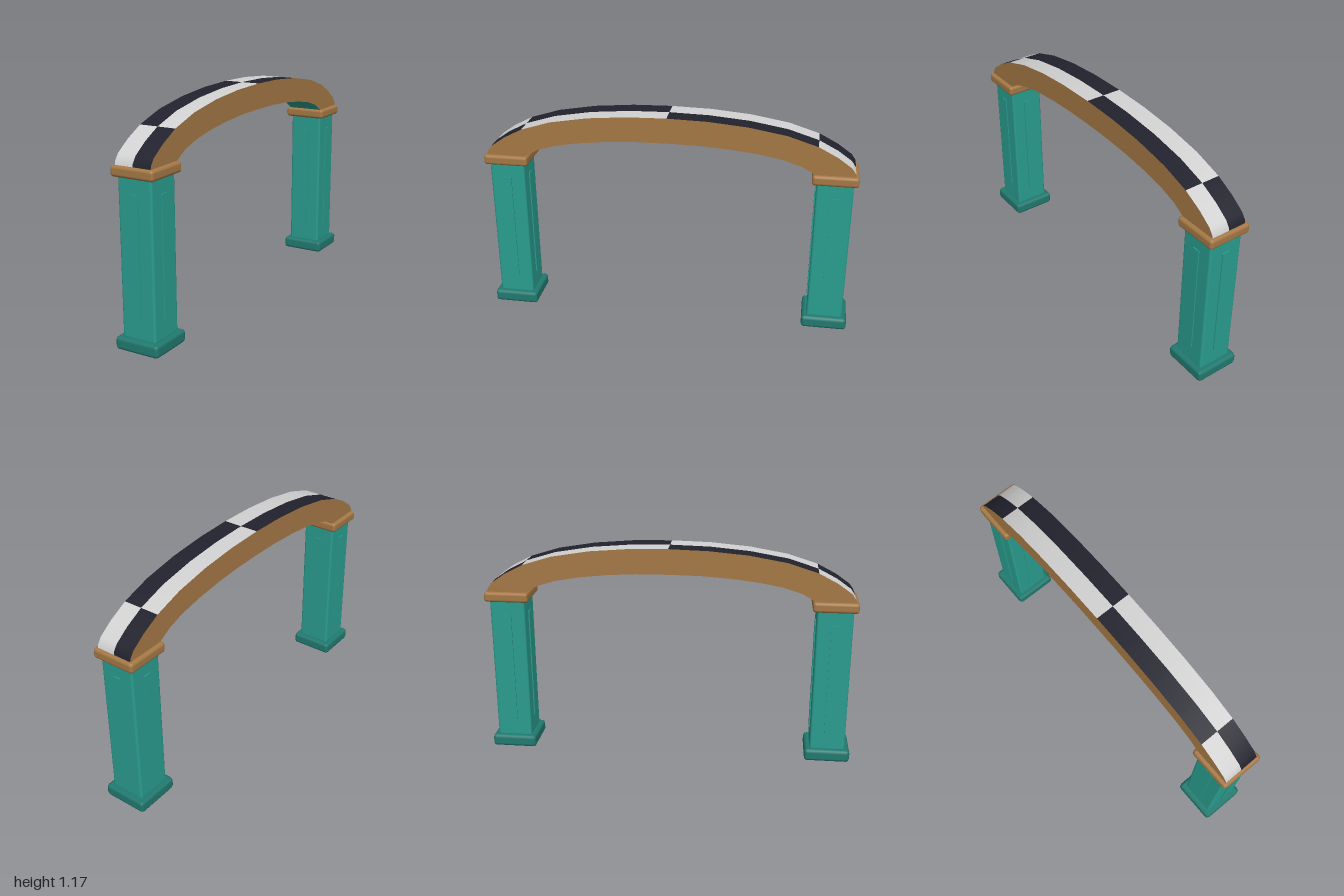
import * as THREE from 'three';
import { RoundedBoxGeometry } from 'three/addons/geometries/RoundedBoxGeometry.js';

const paint = (name, color) => {
  const m = new THREE.MeshStandardMaterial({ color });
  m.name = name;
  return m;
};

// Half profiles of the arch as [z, y], from the foot to the crown
const OUTER = [[0.985, 0.88], [0.977, 0.925], [0.955, 0.957], [0.88, 1.01], [0.78, 1.062],
  [0.62, 1.112], [0.42, 1.146], [0.21, 1.164], [0, 1.169]];
const INNER = [[0.80, 0.88], [0.765, 0.914], [0.70, 0.95], [0.605, 0.98], [0.48, 1.003],
  [0.33, 1.02], [0.17, 1.03], [0, 1.032]];

// Full profile running from -z to +z
const mirrored = (half) => [
  ...half.map(([z, y]) => [-z, y]),
  ...half.slice(0, -1).reverse(),
];

// Ribbon across x, two columns wide, following a profile
function ribbon(profile, width) {
  const geo = new THREE.PlaneGeometry(width, 1, 2, profile.length - 1);
  const pos = geo.attributes.position;
  for (let i = 0; i < pos.count; i++) {
    const [z, y] = profile[Math.floor(i / 3)];
    pos.setXYZ(i, pos.getX(i), y, z);
  }
  geo.computeVertexNormals();
  return geo;
}

export function createModel() {
  const teal = paint('teal', 0x2a9d8f);
  const darkTeal = paint('dark teal', 0x217a70);
  const wood = paint('wood brown', 0xa57845);
  const white = paint('pale grey', 0xd2d2d2);
  const black = paint('near black', 0x22222e);

  const model = new THREE.Group();
  model.name = 'archway';
  const add = (parent, name, geo, mat, x = 0, y = 0, z = 0) => {
    const mesh = new THREE.Mesh(geo, mat);
    mesh.name = name;
    mesh.position.set(x, y, z);
    parent.add(mesh);
    return mesh;
  };

  // Two pillars with base, cap and a raised strip on each face
  for (const [side, name] of [[1, 'frontPillar'], [-1, 'backPillar']]) {
    const pillar = new THREE.Group();
    pillar.name = name;
    pillar.position.z = side * 0.877;
    add(pillar, 'base', new RoundedBoxGeometry(0.246, 0.067, 0.246, 1, 0.018), darkTeal, 0, 0.0335);
    add(pillar, 'shaft', new RoundedBoxGeometry(0.19, 0.81, 0.19, 2, 0.012), teal, 0, 0.464);
    add(pillar, 'cap', new RoundedBoxGeometry(0.24, 0.055, 0.24, 3, 0.016), wood, 0, 0.882);
    for (let i = 0; i < 4; i++) {
      const a = i * Math.PI / 2;
      const strip = add(pillar, 'raisedStrip', new THREE.BoxGeometry(0.04, 0.62, 0.009), teal,
        Math.sin(a) * 0.0965, 0.47, Math.cos(a) * 0.0965);
      strip.rotation.y = a;
    }
    model.add(pillar);
  }

  const arch = new THREE.Group();
  arch.name = 'arch';
  model.add(arch);
  const outer = mirrored(OUTER);
  const inner = mirrored(INNER);

  // Chequered top: four bands by two columns
  const top = ribbon(outer, 0.2);
  for (let row = 0; row < outer.length - 1; row++) {
    const z = (outer[row][0] + outer[row + 1][0]) / 2;
    const band = [-0.78, 0, 0.78].filter((limit) => z > limit).length;
    for (let col = 0; col < 2; col++) {
      top.addGroup((row * 2 + col) * 6, 6, (band + col) % 2);
    }
  }
  add(arch, 'chequeredTop', top, [black, white]);

  // Underside
  add(arch, 'underside', ribbon([...inner].reverse(), 0.2), teal);

  // Flat side faces
  const outline = [...outer, ...[...inner].reverse()].map(([z, y]) => new THREE.Vector2(z, y));
  const face = new THREE.ShapeGeometry(new THREE.Shape(outline));
  for (const side of [1, -1]) {
    add(arch, side > 0 ? 'leftSide' : 'rightSide', face, wood, side * 0.1).rotation.y = side * Math.PI / 2;
  }

  return model;
}
